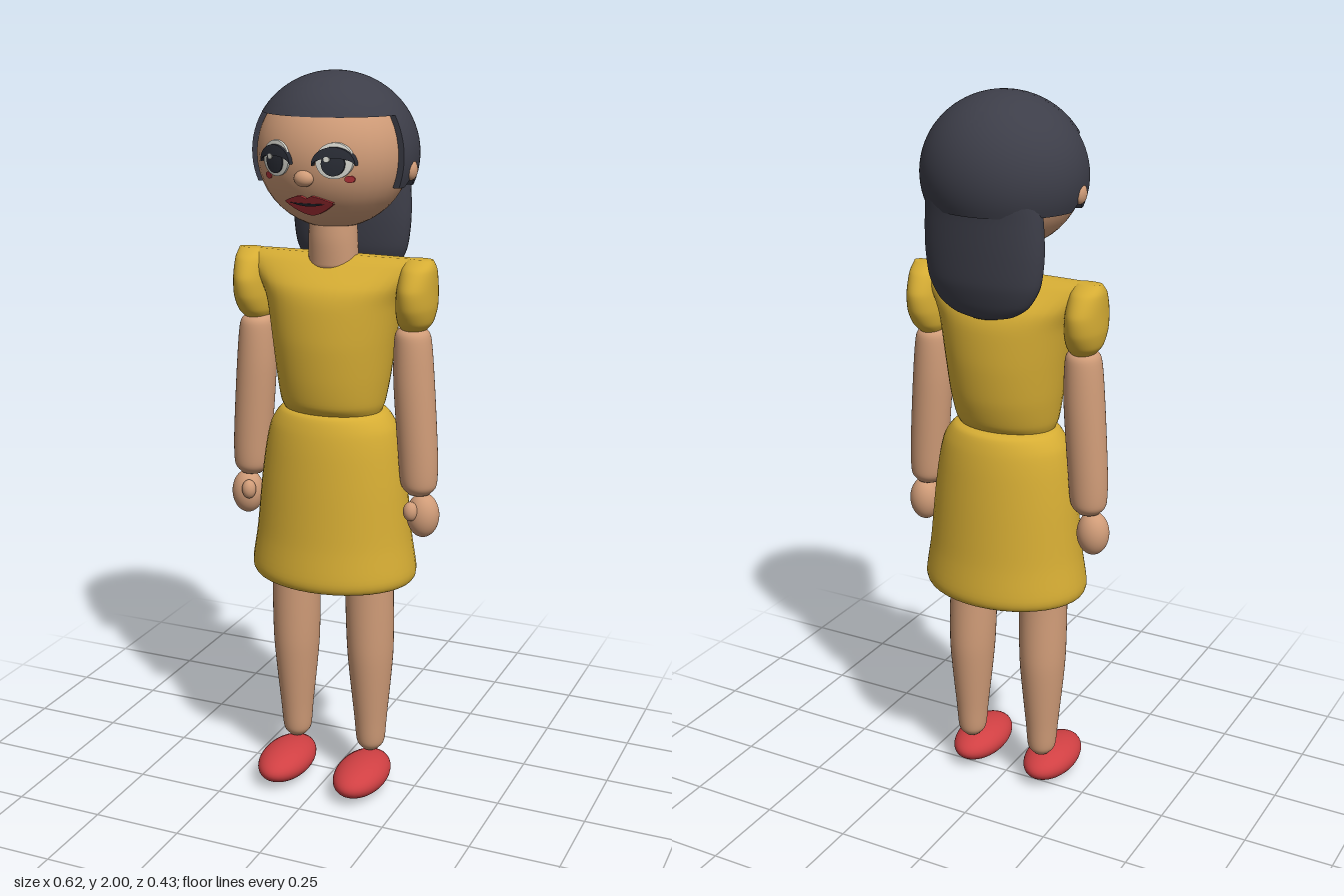
import * as THREE from 'three';
import { toCreasedNormals } from 'three/addons/utils/BufferGeometryUtils.js';

const mat = (name, color, side = THREE.FrontSide) => {
  const m = new THREE.MeshStandardMaterial({ color, side });
  m.name = name;
  return m;
};

// Head and hair ellipsoids: centre height, depth offset and radii
const HEAD = { y: 1.792, z: 0, rx: 0.203, ry: 0.197, rz: 0.2 };
const HAIR = { y: 1.79, z: -0.008, rx: 0.223, ry: 0.21, rz: 0.208 };

function geometry(positions, indices) {
  const g = new THREE.BufferGeometry();
  g.setAttribute('position', new THREE.Float32BufferAttribute(positions, 3));
  g.setIndex(indices);
  g.computeVertexNormals();
  return g;
}

// Smooth closed body through elliptical sections [y, rx, rz, cx, cz], top to bottom
function loft(sections, rows = 40, cols = 40) {
  const curve = f => new THREE.CatmullRomCurve3(sections.map(f), false, 'catmullrom', 0.4);
  const centres = curve(([y, , , cx = 0, cz = 0]) => new THREE.Vector3(cx, y, cz));
  const radii = curve(([, rx, rz]) => new THREE.Vector3(rx, rz, 0));
  const pos = [], idx = [];
  for (let i = 0; i <= rows; i++) {
    const c = centres.getPoint(i / rows), r = radii.getPoint(i / rows);
    for (let j = 0; j < cols; j++) {
      const a = (j / cols) * Math.PI * 2;
      pos.push(c.x + Math.cos(a) * r.x, c.y, c.z + Math.sin(a) * r.y);
    }
  }
  for (let i = 0; i < rows; i++) for (let j = 0; j < cols; j++) {
    const k = (j + 1) % cols, a = i * cols + j, b = i * cols + k;
    idx.push(a, b, a + cols, b, b + cols, a + cols);
  }
  const top = pos.length / 3, bottom = top + 1;
  for (const t of [0, 1]) pos.push(...centres.getPoint(t).toArray());
  for (let j = 0; j < cols; j++) {
    const k = (j + 1) % cols;
    idx.push(top, k, j, bottom, rows * cols + j, rows * cols + k);
  }
  return geometry(pos, idx);
}

// Raised pad on the face between two outlines; t runs from -1 to 1 across it
function facePad(cx, cy, half, upper, lower, lift, cols = 28) {
  const pos = [], idx = [], rows = [[0, 0], [0, 1], [0.33, 1], [0.67, 1], [1, 1], [1, 0]];
  for (const [v, l] of rows) for (let i = 0; i <= cols; i++) {
    const t = -Math.cos((i / cols) * Math.PI);
    const x = cx + t * half, y = cy + upper(t) + (lower(t) - upper(t)) * v;
    const q = 1 - (x / HEAD.rx) ** 2 - ((y - HEAD.y) / HEAD.ry) ** 2;
    pos.push(x, y, HEAD.rz * Math.sqrt(Math.max(q, 0)) + (l ? lift : -0.002));
  }
  const w = cols + 1;
  for (let r = 0; r < rows.length - 1; r++) for (let i = 0; i < cols; i++) {
    const a = r * w + i;
    idx.push(a, a + w, a + 1, a + 1, a + w, a + w + 1);
  }
  return toCreasedNormals(geometry(pos, idx), 0.7);
}
const arc = r => t => r * Math.sqrt(Math.max(0, 1 - t * t));
const oval = (x, y, rx, ry, lift) => facePad(x, y, rx, arc(ry), arc(-ry), lift);

// Hair shell: short fringe in front, longer sides and back, notched over the ears
function hairCap() {
  const step = 1.285, columns = [], rows = 24;
  const FRINGE = 1.895;
  const sideEdge = a => {
    const d = Math.abs(Math.min(a, Math.PI * 2 - a) - 1.56);
    return 1.712 + Math.max(0, 0.04 - d * 0.3);
  };
  for (let i = 0; i <= 32; i++) columns.push([-step + (2 * step * i) / 32, FRINGE, 1]);
  columns.push([step, sideEdge(step), 0.88]);
  for (let i = 0; i <= 60; i++) {
    const a = step + ((2 * Math.PI - 2 * step) * i) / 60;
    columns.push([a, sideEdge(a), 1]);
  }
  columns.push([-step, sideEdge(step), 0.88], columns[0]);
  const pos = [], idx = [], h = rows + 2;
  for (const [a, edge, scale] of columns) {
    const end = Math.acos((edge - HAIR.y) / HAIR.ry);
    for (let r = 0; r <= rows + 1; r++) {
      const p = (Math.min(r, rows) / rows) * end, s = r > rows ? 0.86 : scale;
      pos.push(Math.sin(a) * Math.sin(p) * HAIR.rx * s, HAIR.y + Math.cos(p) * HAIR.ry * (scale < 1 ? 0.99 : 1),
        HAIR.z + Math.cos(a) * Math.sin(p) * HAIR.rz * s);
    }
  }
  for (let c = 0; c < columns.length - 1; c++) for (let r = 0; r <= rows; r++) {
    const a = c * h + r, b = a + h;
    idx.push(a, a + 1, b, b, a + 1, b + 1);
  }
  return toCreasedNormals(geometry(pos, idx), 0.7);
}

export function createModel() {
  const model = new THREE.Group();
  model.name = 'doll';
  const skin = mat('skin', 0xd09c78);
  const dress = mat('dressYellow', 0xd6ad34);
  const hair = mat('hairDark', 0x3d3e49, THREE.DoubleSide);
  const shoe = mat('shoeRed', 0xd04043);
  const lip = mat('lipRed', 0xb5343a, THREE.DoubleSide);
  const white = mat('eyeWhite', 0xd6d6ce, THREE.DoubleSide);
  const dark = mat('eyeDark', 0x2a2d36, THREE.DoubleSide);

  const add = (name, geo, material) => {
    const m = new THREE.Mesh(geo, material);
    m.name = name;
    model.add(m);
    return m;
  };
  const ball = (name, material, x, y, z, rx, ry, rz) => {
    const m = add(name, new THREE.SphereGeometry(1, 36, 24), material);
    m.position.set(x, y, z);
    m.scale.set(rx, ry, rz);
    return m;
  };

  // Head, neck and hair
  ball('head', skin, 0, HEAD.y, HEAD.z, HEAD.rx, HEAD.ry, HEAD.rz);
  add('neck', loft([[1.64, 0.062, 0.062, 0, 0.008], [1.57, 0.066, 0.064, 0, 0.008], [1.49, 0.068, 0.06, 0, 0.005]], 10), skin);
  add('hairCap', hairCap(), hair);
  add('ponytail', loft([[1.83, 0.12, 0.05, 0, -0.12], [1.78, 0.155, 0.075, 0, -0.125], [1.7, 0.167, 0.072, 0, -0.122],
    [1.61, 0.17, 0.068, 0, -0.12], [1.53, 0.16, 0.06, 0, -0.12], [1.475, 0.13, 0.042, 0, -0.122],
    [1.445, 0.085, 0.025, 0, -0.125], [1.432, 0.03, 0.01, 0, -0.127]]), hair);

  // Nose and mouth
  ball('nose', skin, 0, 1.745, 0.195, 0.026, 0.021, 0.02);
  const taper = t => 1 - Math.abs(t) ** 1.6;
  add('lips', facePad(0, 1.675, 0.066,
    t => 0.008 + taper(t) * 0.02 - 0.01 * Math.exp(-((t / 0.15) ** 2)),
    t => 0.004 - taper(t) * 0.034, 0.01), lip);
  add('mouthLine', facePad(0, 1.676, 0.05, t => taper(t) * 0.004 + 0.004 * t * t, t => -taper(t) * 0.004 + 0.004 * t * t, 0.013), dark);

  // Dress
  add('bodice', loft([[1.527, 0.275, 0.018], [1.505, 0.262, 0.055], [1.45, 0.215, 0.115], [1.4, 0.19, 0.135],
    [1.3, 0.172, 0.143, 0, 0.002], [1.2, 0.158, 0.137, 0, 0.004], [1.13, 0.146, 0.122, 0, 0.008], [1.1, 0.135, 0.1, 0, 0.008]]), dress);
  add('skirt', loft([[1.112, 0.11, 0.09], [1.1, 0.15, 0.122], [1.06, 0.178, 0.138], [1, 0.193, 0.149], [0.9, 0.207, 0.16],
    [0.75, 0.222, 0.173], [0.655, 0.236, 0.185], [0.625, 0.228, 0.178], [0.613, 0.2, 0.155]]), dress);

  for (const s of [1, -1]) {
    const side = s > 0 ? 'left' : 'right';

    // Face details
    ball(side + 'Ear', skin, s * 0.213, 1.755, -0.003, 0.016, 0.027, 0.024);
    const ex = s * 0.08;
    add(side + 'Eyelid', oval(ex, 1.792, 0.043, 0.045, 0.01), white);
    add(side + 'Iris', oval(ex, 1.785, 0.027, 0.03, 0.016), dark);
    add(side + 'Lashes', facePad(ex, 1.78, 0.05, t => arc(0.044)(t) + 0.003, t => arc(0.02)(t), 0.02), dark);
    add(side + 'EyeGlint', oval(ex - 0.012, 1.797, 0.007, 0.007, 0.022), white);
    add(side + 'CheekDot', oval(s * 0.112, 1.745, 0.011, 0.009, 0.005), lip);

    // Sleeve, arm and hand
    add(side + 'Sleeve', loft([[1.527, 0.036, 0.018, s * 0.243], [1.5, 0.046, 0.058, s * 0.24], [1.45, 0.05, 0.084, s * 0.237],
      [1.4, 0.052, 0.08, s * 0.235], [1.36, 0.046, 0.06, s * 0.232], [1.335, 0.03, 0.035, s * 0.228]]), dress);
    add(side + 'Arm', loft([[1.347, 0.028, 0.028, s * 0.225, 0.004], [1.32, 0.048, 0.05, s * 0.227, 0.004],
      [1.2, 0.055, 0.056, s * 0.232, 0.004], [1, 0.054, 0.053, s * 0.246, 0.004],
      [0.915, 0.049, 0.048, s * 0.25, 0.004], [0.888, 0.03, 0.03, s * 0.251, 0.004]]), skin);
    ball(side + 'Hand', skin, s * 0.264, 0.828, 0.006, 0.045, 0.062, 0.043);
    ball(side + 'Thumb', skin, s * 0.242, 0.847, 0.045, 0.02, 0.027, 0.02);

    // Leg and shoe
    add(side + 'Leg', loft([[0.72, 0.067, 0.066, s * 0.112, 0.012], [0.58, 0.068, 0.068, s * 0.112, 0.012],
      [0.4, 0.064, 0.071, s * 0.114, 0.007], [0.2, 0.046, 0.051, s * 0.115, 0.005],
      [0.125, 0.039, 0.042, s * 0.115, 0.004], [0.1, 0.022, 0.024, s * 0.115, 0.004]]), skin);
    ball(side + 'Shoe', shoe, s * 0.117, 0.05, 0.073, 0.073, 0.05, 0.125);
  }
  return model;
}
